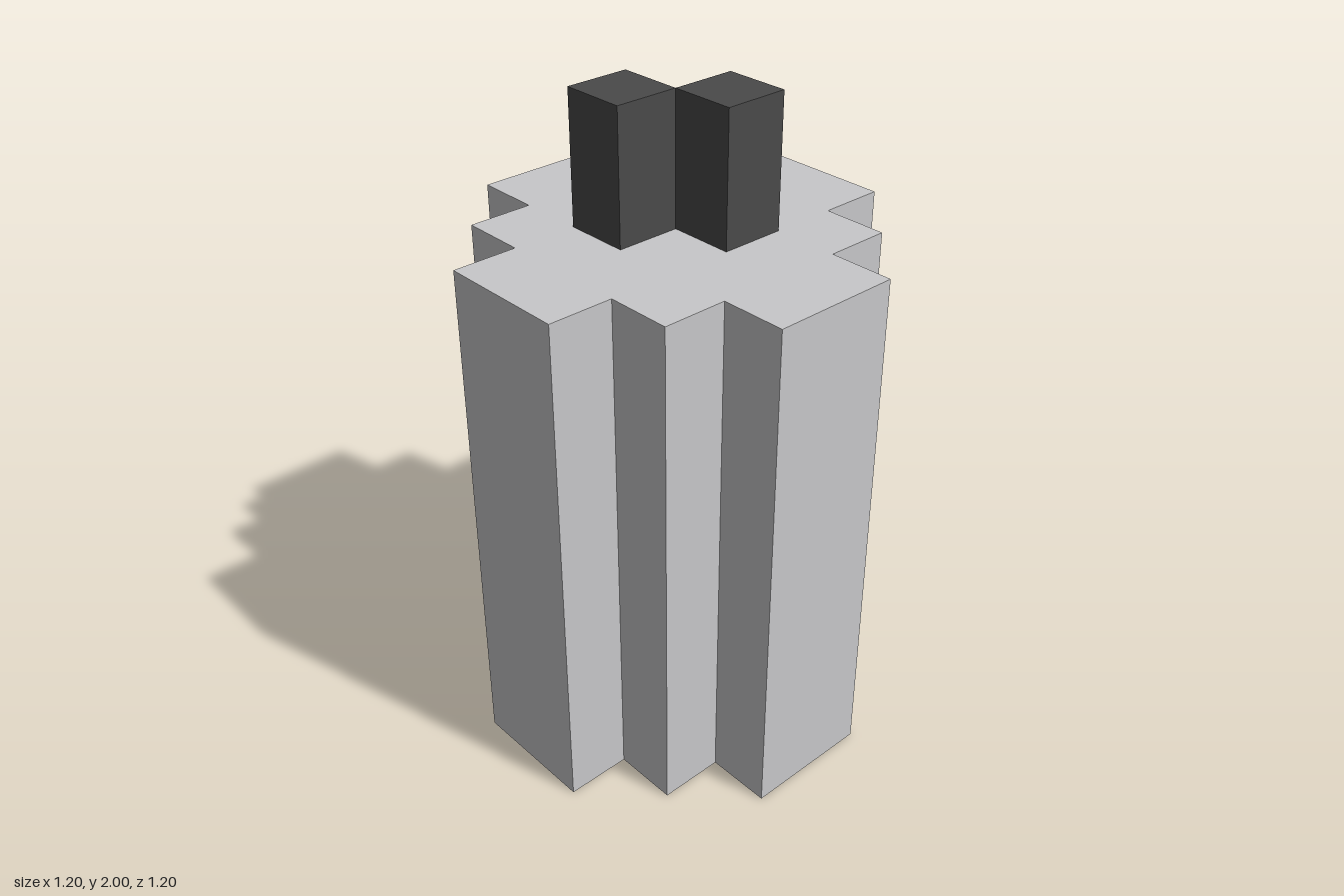
import * as THREE from 'three';

export function createModel() {
  const group = new THREE.Group();
  const lightGrey = new THREE.MeshStandardMaterial({ color: 0xc8c8ca });
  lightGrey.name = 'light grey';
  const darkGrey = new THREE.MeshStandardMaterial({ color: 0x4a4a4a });
  darkGrey.name = 'dark grey';

  // Stepped column: one quarter of the outline, turned four times
  const quarter = [[0.6, -0.2], [0.6, 0.2], [0.4, 0.2], [0.4, 0.4], [0.2, 0.4]];
  const outline = [];
  for (let i = 0; i < 4; i++) {
    const turn = i * Math.PI / 2;
    for (const [x, y] of quarter) {
      outline.push(new THREE.Vector2(x, y).rotateAround(new THREE.Vector2(), turn));
    }
  }
  const bodyGeometry = new THREE.ExtrudeGeometry(new THREE.Shape(outline), {
    depth: 1.6, bevelEnabled: false,
  });
  bodyGeometry.rotateX(-Math.PI / 2);
  const body = new THREE.Mesh(bodyGeometry, lightGrey);
  body.name = 'steppedBody';
  group.add(body);

  // Two square posts standing corner to corner on top
  const postGeometry = new THREE.BoxGeometry(0.2, 0.4, 0.2);
  for (const side of [1, -1]) {
    const post = new THREE.Mesh(postGeometry, darkGrey);
    post.name = side > 0 ? 'leftPost' : 'rightPost';
    post.position.set(0.1 * side, 1.8, -0.1 * side);
    group.add(post);
  }

  return group;
}
